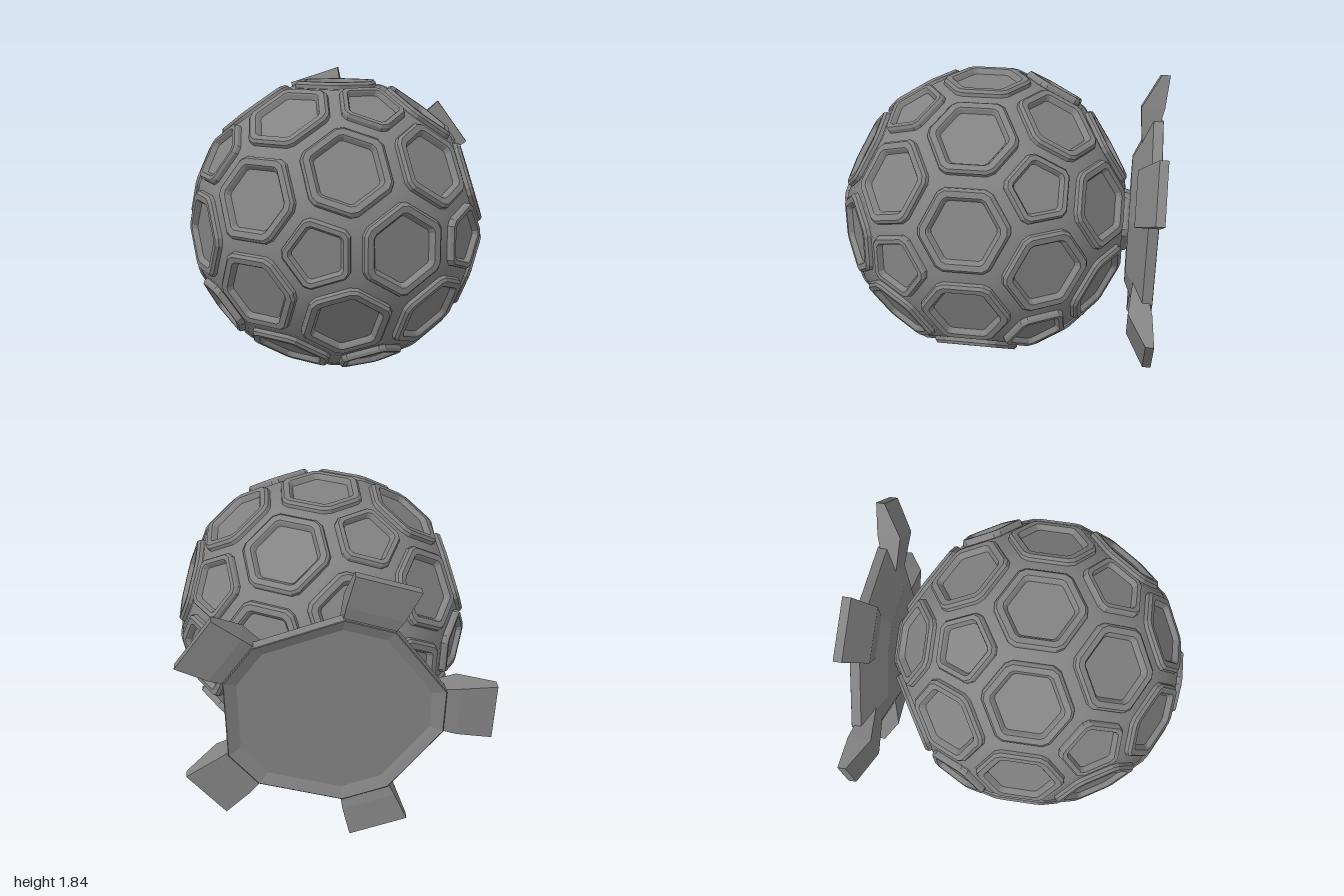
import * as THREE from 'three';

const V = (x, y, z) => new THREE.Vector3(x, y, z);
const CENTER = V(0, 0.925, 0.095);
const H_PENT = 0.868, H_HEX = 0.846; // distance of the shell planes from the centre

// Skin consecutive rings of points; rings run counter-clockwise seen from the end
function loft(rings, capStart, capEnd) {
  const pos = [];
  const tri = (...pts) => pts.forEach(p => pos.push(p.x, p.y, p.z));
  const n = rings[0].length;
  for (let k = 0; k + 1 < rings.length; k++) {
    const a = rings[k], b = rings[k + 1];
    for (let i = 0; i < n; i++) {
      const j = (i + 1) % n;
      tri(a[i], a[j], b[j]);
      tri(a[i], b[j], b[i]);
    }
  }
  const first = rings[0], last = rings[rings.length - 1];
  for (let i = 1; i + 1 < n; i++) {
    if (capStart) tri(first[0], first[i + 1], first[i]);
    if (capEnd) tri(last[0], last[i], last[i + 1]);
  }
  const g = new THREE.BufferGeometry();
  g.setAttribute('position', new THREE.Float32BufferAttribute(pos, 3));
  g.computeVertexNormals();
  return g;
}

// 12 pentagon directions (icosahedron corners) and 30 hexagon directions (edge middles)
function shellFaces() {
  const dirs = [V(0, 0, 1), V(0, 0, -1)];
  const s = 2 / Math.sqrt(5), c = 1 / Math.sqrt(5);
  for (let k = 0; k < 5; k++) {
    const a = k * Math.PI * 0.4, b = a + Math.PI * 0.2;
    dirs.push(V(s * Math.cos(a), s * Math.sin(a), c));
    dirs.push(V(s * Math.cos(b), s * Math.sin(b), -c));
  }
  const faces = dirs.map(n => ({ n, h: H_PENT }));
  for (let i = 0; i < 12; i++) {
    for (let j = i + 1; j < 12; j++) {
      if (dirs[i].dot(dirs[j]) > 0.4) {
        faces.push({ n: dirs[i].clone().add(dirs[j]).normalize(), h: H_HEX });
      }
    }
  }
  faces.forEach(f => { f.corners = faceCorners(f, faces); });
  return faces;
}

// Corner where three face planes meet
function meet(a, b, c) {
  const bc = b.n.clone().cross(c.n), ca = c.n.clone().cross(a.n), ab = a.n.clone().cross(b.n);
  const det = a.n.dot(bc);
  return bc.multiplyScalar(a.h).addScaledVector(ca, b.h).addScaledVector(ab, c.h).divideScalar(det);
}

function faceCorners(f, faces) {
  const u = V(0.31, 0.87, 0.23).cross(f.n).normalize();
  const v = f.n.clone().cross(u);
  const angle = o => Math.atan2(o.n.dot(v), o.n.dot(u));
  const near = faces.filter(o => o !== f && o.n.dot(f.n) > 0.78).sort((p, q) => angle(p) - angle(q));
  return near.map((o, i) => meet(f, o, near[(i + 1) % near.length]));
}

// Face outline shrunk about its middle, lifted, with cut corners
function outline(f, scale, lift, cut) {
  const n = f.corners.length;
  const middle = f.n.clone().multiplyScalar(f.h);
  const Q = f.corners.map(p => middle.clone().lerp(p, scale).addScaledVector(f.n, lift));
  return Q.flatMap((q, i) => [Q[(i + n - 1) % n], Q[(i + 1) % n]].map(
    o => q.clone().addScaledVector(o.clone().sub(q).normalize(), cut)));
}

export function createModel() {
  const model = new THREE.Group();
  const flat = new THREE.MeshStandardMaterial({ color: 0x838383, flatShading: true });
  const smooth = new THREE.MeshStandardMaterial({ color: 0x838383 });
  const add = (parent, name, geometry, material = flat) => {
    const mesh = new THREE.Mesh(geometry, material);
    mesh.name = name;
    parent.add(mesh);
    return mesh;
  };

  // Ball: softly shaded shell carrying a raised frame with a sunken panel on each face
  const ball = new THREE.Group();
  ball.name = 'ball';
  ball.position.copy(CENTER);
  model.add(ball);
  // scale, lift, corner cut
  const profile = [
    [0.865, -0.01, 0.028], [0.86, 0.022, 0.028], [0.81, 0.039, 0.024],
    [0.685, 0.039, 0.016], [0.655, 0.031, 0.014], [0.605, 0.008, 0.012],
  ];
  for (const f of shellFaces()) {
    const shell = loft([f.corners], false, true);
    const p = shell.attributes.position;
    for (let i = 0; i < p.count; i++) {
      const d = V().fromBufferAttribute(p, i).normalize();
      shell.attributes.normal.setXYZ(i, d.x, d.y, d.z);
    }
    add(ball, 'shellFace', shell, smooth);
    const name = f.corners.length === 5 ? 'pentagonPlate' : 'hexagonPlate';
    add(ball, name, loft(profile.map(q => outline(f, ...q)), false, true));
  }

  // Rear base: ten-sided dish, long edges between the arms, hollow at the back
  const base = new THREE.Group();
  base.name = 'rearBase';
  base.position.set(0, CENTER.y, 0);
  model.add(base);
  const ring = (r, z) => {
    const pts = [];
    for (let k = 4; k >= 0; k--) {
      for (const d of [23.4, -23.4]) {
        const a = (k * 72 + d) * Math.PI / 180;
        pts.push(V(r * Math.cos(a), r * Math.sin(a), z));
      }
    }
    return pts;
  };
  add(base, 'dish', loft([
    ring(0.405, -0.808), ring(0.65, -0.92), ring(0.65, -0.978), ring(0.645, -0.98), ring(0.57, -0.95),
  ], true, true));

  // Five flared arms: distance from the axis, half width, front z, back z
  const sections = [[0.46, 0.12, -0.86, -0.925], [0.71, 0.163, -0.84, -0.982], [0.91, 0.182, -0.95, -1]];
  const arm = loft(sections.map(([r, w, zf, zb]) =>
    [V(r, -w, zb), V(r, w, zb), V(r, w, zf), V(r, -w, zf)]), true, true);
  for (let k = 0; k < 5; k++) {
    add(base, 'arm', arm).rotation.z = (36 + 72 * k) * Math.PI / 180;
  }
  return model;
}
